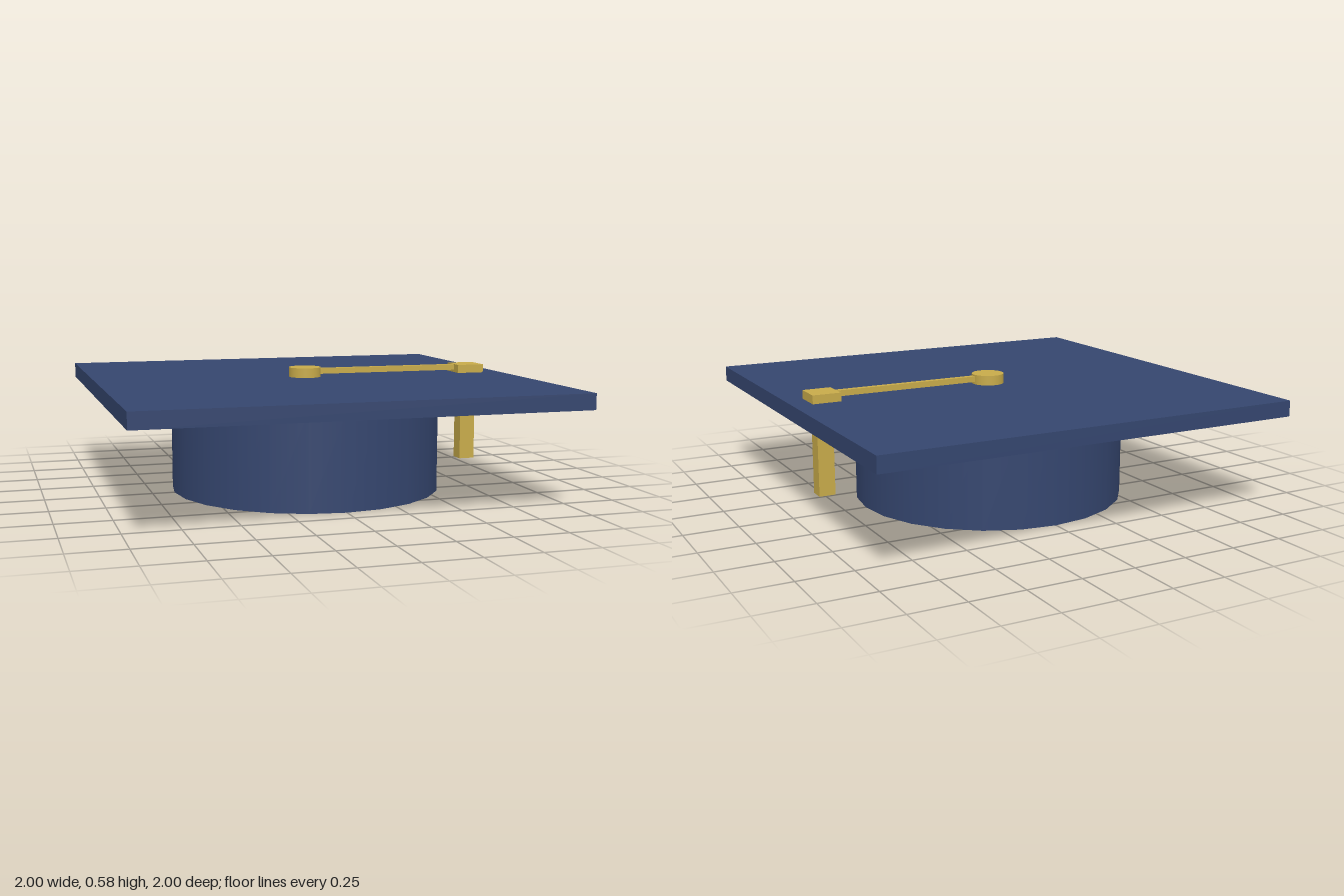
import * as THREE from 'three';

export function createModel() {
  const cap = new THREE.Group();
  cap.name = 'graduationCap';

  const navy = new THREE.MeshStandardMaterial({ color: 0x35466f });
  navy.name = 'navyCloth';
  const gold = new THREE.MeshStandardMaterial({ color: 0xc8ab4a });
  gold.name = 'goldTrim';

  const add = (name, geometry, material, x, y, z = 0) => {
    const mesh = new THREE.Mesh(geometry, material);
    mesh.name = name;
    mesh.position.set(x, y, z);
    cap.add(mesh);
  };

  // Round crown and the square board on top of it
  add('crown', new THREE.CylinderGeometry(0.646, 0.646, 0.46, 24), navy, 0, 0.23);
  add('board', new THREE.BoxGeometry(2, 0.073, 2), navy, 0, 0.4965);

  // Centre button with the cord running out to the left edge
  add('button', new THREE.CylinderGeometry(0.077, 0.077, 0.046, 24), gold, 0, 0.556);
  add('cord', new THREE.BoxGeometry(0.84, 0.027, 0.027), gold, 0.42, 0.558);

  // Cord end and the tassel hanging below the board
  add('cordEnd', new THREE.BoxGeometry(0.134, 0.04, 0.134), gold, 0.843, 0.553);
  add('tassel', new THREE.BoxGeometry(0.077, 0.367, 0.072), gold, 0.845, 0.2785);

  return cap;
}
